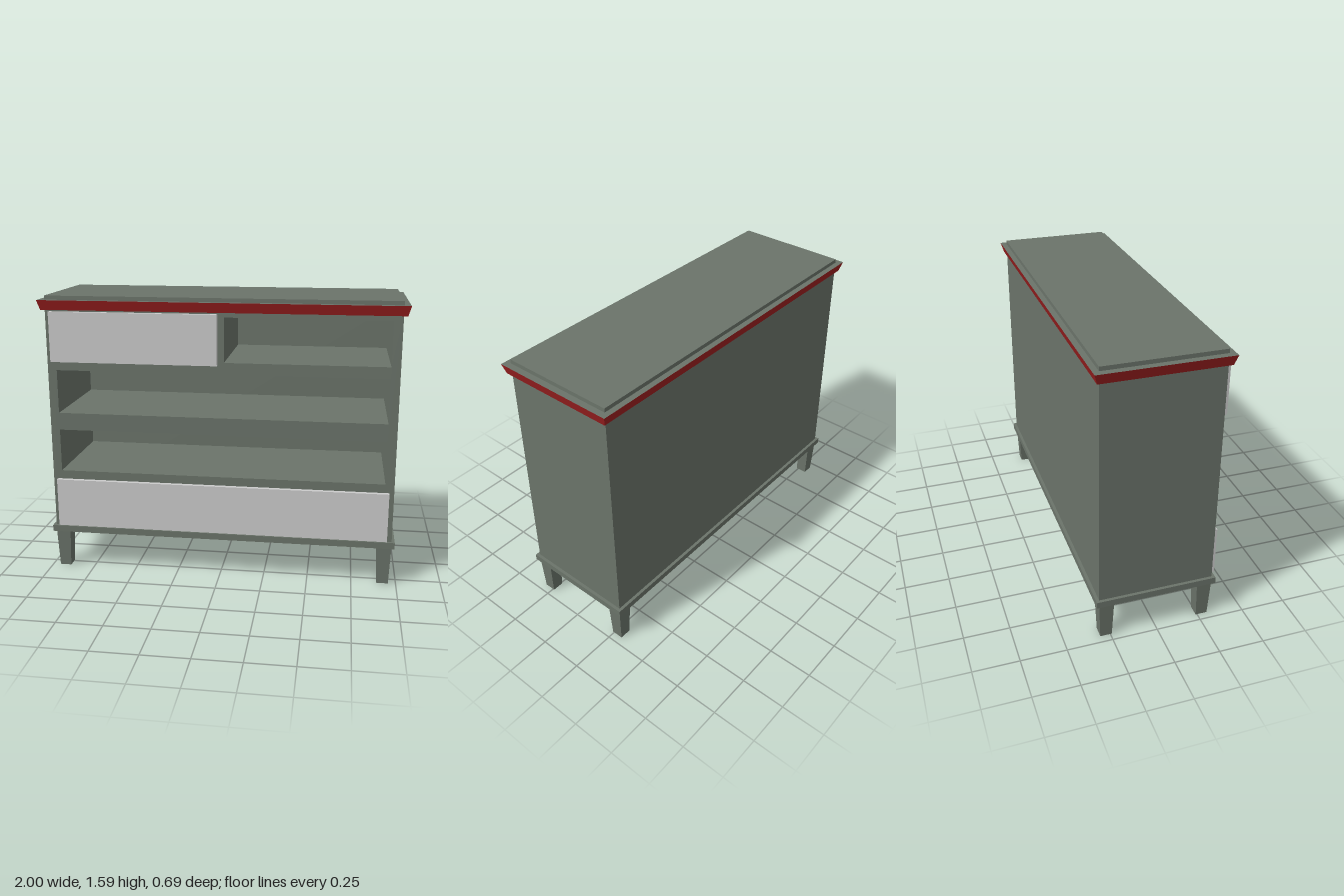
import * as THREE from 'three';

const paint = new THREE.MeshStandardMaterial({ color: 0x6b746a });
const red = new THREE.MeshStandardMaterial({ color: 0xa02020 });
const grey = new THREE.MeshStandardMaterial({ color: 0xcccccc });

// Box from y0 to y1 whose half sizes change from [x, z] below to [x, z] above
function taperedBox(name, y0, y1, low, high, material) {
  const geo = new THREE.BoxGeometry(2, y1 - y0, 2);
  const p = geo.attributes.position;
  for (let i = 0; i < p.count; i++) {
    const [hx, hz] = p.getY(i) > 0 ? high : low;
    p.setX(i, p.getX(i) * hx);
    p.setZ(i, p.getZ(i) * hz);
  }
  geo.computeVertexNormals();
  const mesh = new THREE.Mesh(geo, material);
  mesh.name = name;
  mesh.position.y = (y0 + y1) / 2;
  return mesh;
}

function rect(target, x0, x1, y0, y1) {
  target.moveTo(x0, y0);
  target.lineTo(x1, y0);
  target.lineTo(x1, y1);
  target.lineTo(x0, y1);
  target.closePath();
  return target;
}

export function createModel() {
  const model = new THREE.Group();
  model.name = 'chestOfDrawers';
  const HX = 0.965, HZ = 0.315, BACK = 0.02;

  // Carcass with drawer openings, closed by a back panel
  const front = rect(new THREE.Shape(), -HX, HX, 0.25, 1.515);
  const openings = [
    [-0.915, -0.035, 1.24, 1.485],
    [0.025, 0.915, 1.24, 1.485],
    [-0.915, 0.915, 0.93, 1.175],
    [-0.915, 0.915, 0.59, 0.832],
    [-0.915, 0.915, 0.28, 0.522],
  ];
  for (const o of openings) front.holes.push(rect(new THREE.Path(), ...o));
  const carcass = new THREE.Mesh(
    new THREE.ExtrudeGeometry(front, { depth: 2 * HZ - BACK, bevelEnabled: false }), paint);
  carcass.name = 'carcass';
  carcass.position.z = -HZ + BACK;
  model.add(carcass);

  const back = new THREE.Mesh(new THREE.BoxGeometry(2 * HX, 1.265, BACK), paint);
  back.name = 'backPanel';
  back.position.set(0, 0.8825, -HZ + BACK / 2);
  model.add(back);

  // Drawer fronts standing proud of the carcass
  const drawers = [
    ['topDrawer', -0.94, -0.01, 1.225, 1.502],
    ['bottomDrawer', -0.94, 0.938, 0.263, 0.541],
  ];
  for (const [name, x0, x1, y0, y1] of drawers) {
    const drawer = new THREE.Mesh(new THREE.BoxGeometry(x1 - x0, y1 - y0, 0.025), grey);
    drawer.name = name;
    drawer.position.set((x0 + x1) / 2, (y0 + y1) / 2, HZ + 0.0125);
    model.add(drawer);
  }

  // Plinth, flared cornice with red sides, and top board
  model.add(taperedBox('plinth', 0.22, 0.256, [0.982, 0.332], [0.982, 0.332], paint));
  model.add(taperedBox('cornice', 1.511, 1.565, [0.985, 0.33], [1, 0.346],
    [red, red, paint, paint, red, red]));
  model.add(taperedBox('topBoard', 1.565, 1.587, [HX, HZ], [HX, HZ], paint));

  // Tapered legs
  for (const sx of [-1, 1]) {
    for (const sz of [-1, 1]) {
      const name = (sz > 0 ? 'front' : 'back') + (sx > 0 ? 'Left' : 'Right') + 'Leg';
      const leg = taperedBox(name, 0, 0.22, [0.032, 0.032], [0.041, 0.041], paint);
      leg.position.x = sx * 0.925;
      leg.position.z = sz * 0.274;
      model.add(leg);
    }
  }
  return model;
}
